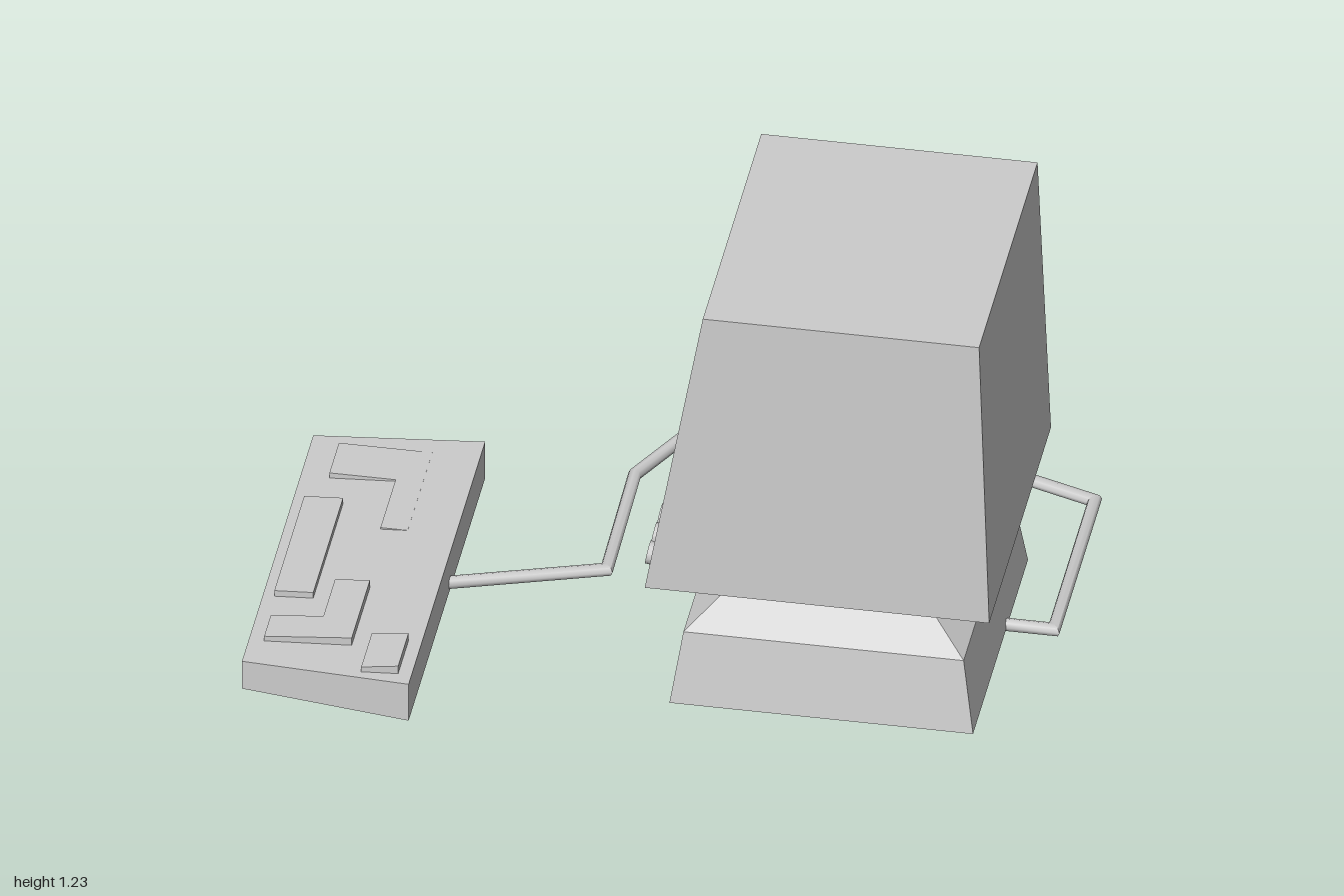
import * as THREE from 'three';
import { toCreasedNormals } from 'three/addons/utils/BufferGeometryUtils.js';

const material = new THREE.MeshStandardMaterial({ color: 0xcccccc });

function part(name, geometry, parent) {
  const mesh = new THREE.Mesh(geometry, material);
  mesh.name = name;
  parent.add(mesh);
  return mesh;
}

// Skin a list of equal-length rings and cap both ends
function loft(rings, crease = 0.05) {
  const n = rings[0].length, last = (rings.length - 1) * n, index = [];
  for (let r = 0; r < rings.length - 1; r++) {
    for (let i = 0; i < n; i++) {
      const a = r * n + i, b = r * n + (i + 1) % n;
      index.push(a, b, b + n, a, b + n, a + n);
    }
  }
  for (let i = 1; i < n - 1; i++) {
    index.push(0, i + 1, i, last, last + i, last + i + 1);
  }
  const g = new THREE.BufferGeometry();
  g.setAttribute('position', new THREE.Float32BufferAttribute(rings.flat(2), 3));
  g.setIndex(index);
  return toCreasedNormals(g, crease);
}

// Horizontal rectangle ring
const rect = (y, x0, x1, z0, z1) => [[x1, y, z1], [x1, y, z0], [x0, y, z0], [x0, y, z1]];

// Point on the sloping screen side: u runs along z, v runs up, d goes inward
function facePoint(u, v, d = 0) {
  const z0 = THREE.MathUtils.lerp(-0.25, -0.225, v);
  const z1 = THREE.MathUtils.lerp(0.63, 0.607, v);
  return [0.025 + 0.145 * v + d, 0.4 + 0.83 * v, THREE.MathUtils.lerp(z0, z1, u)];
}
const faceRing = (u0, u1, v0, v1, d) =>
  [[u0, v0], [u1, v0], [u1, v1], [u0, v1]].map(([u, v]) => facePoint(u, v, d));

// Mitred round cable through ground points [x, z]
function cable(points, y, radius, sides) {
  const pts = points.map(([x, z]) => new THREE.Vector2(x, z));
  const side = (a, b) => {
    const d = b.clone().sub(a).normalize();
    return new THREE.Vector2(d.y, -d.x);
  };
  const rings = pts.map((p, i) => {
    const before = side(pts[Math.max(i - 1, 0)], pts[Math.max(i, 1)]);
    const j = Math.min(i, pts.length - 2);
    const after = side(pts[j], pts[j + 1]);
    const s = before.clone().add(after).normalize();
    s.divideScalar(s.dot(before));
    return Array.from({ length: sides }, (_, k) => {
      const t = (k / sides) * Math.PI * 2, c = Math.cos(t) * radius;
      return [p.x + s.x * c, y + Math.sin(t) * radius, p.y + s.y * c];
    });
  });
  return loft(rings, 0.9);
}

// Raised key block with a tilted top; outline is [x, z], height is at x = -0.8
function keyBlock(outline, height, slope) {
  const shape = new THREE.Shape(outline.map(([x, z]) => new THREE.Vector2(x, -z)));
  const g = new THREE.ExtrudeGeometry(shape, { depth: 1, bevelEnabled: false });
  g.rotateX(-Math.PI / 2);
  const p = g.attributes.position;
  for (let i = 0; i < p.count; i++) {
    p.setY(i, p.getY(i) > 0.5 ? height + slope * (p.getX(i) + 0.8) : 0.07);
  }
  g.computeVertexNormals();
  return g;
}

export function createModel() {
  const model = new THREE.Group();
  model.name = 'computerTerminal';

  // Monitor housing with a recessed screen on its -x side
  const monitor = new THREE.Group();
  monitor.name = 'monitor';
  model.add(monitor);
  part('housing', loft([
    [[0.91, 0.4, -0.25], [0.91, 0.4, 0.63], [0.88, 1.23, 0.607], [0.88, 1.23, -0.225]],
    faceRing(0, 1, 0, 1, 0),
    faceRing(0.15, 0.84, 0.17, 0.85, 0),
    faceRing(0.16, 0.83, 0.175, 0.845, 0.05),
  ]), monitor);

  // Three control knobs below the screen
  for (const z of [0.4, 0.483, 0.565]) {
    const knob = part('knob', new THREE.CylinderGeometry(0.03, 0.03, 0.03, 12), monitor);
    knob.position.set(0.036, 0.463, z);
    knob.rotation.z = Math.PI / 2 - 0.175;
  }

  // Stand: flared foot, sloping shoulder and square neck
  part('stand', loft([
    rect(0.02, 0.08, 0.86, -0.2, 0.583),
    rect(0.22, 0.11, 0.83, -0.168, 0.55),
    rect(0.32, 0.23, 0.705, -0.045, 0.432),
    rect(0.405, 0.23, 0.705, -0.045, 0.432),
  ]), model);

  // Wedge-shaped keyboard
  const keyboard = new THREE.Group();
  keyboard.name = 'keyboard';
  model.add(keyboard);
  const corners = [[-0.56, 0.75, 0.112], [-0.56, -0.34, 0.112], [-1, -0.33, 0.084], [-1, 0.685, 0.084]];
  part('keyboardBody', loft([
    corners.map(([x, z]) => [x, 0, z]),
    corners.map(([x, z, y]) => [x, y, z]),
  ]), keyboard);

  // Key groups
  part('steppedKeys', keyBlock([[-0.925, -0.28], [-0.685, -0.28], [-0.685, 0.07],
    [-0.755, 0.07], [-0.755, -0.145], [-0.925, -0.145]], 0.1045, 0), keyboard);
  part('longKeys', keyBlock([[-0.97, -0.035], [-0.87, -0.035], [-0.87, 0.39],
    [-0.97, 0.39]], 0.114, 0.064), keyboard);
  part('cornerKeys', keyBlock([[-0.825, 0.33], [-0.735, 0.33], [-0.735, 0.59],
    [-0.96, 0.59], [-0.96, 0.495], [-0.825, 0.495]], 0.117, 0.1), keyboard);
  part('keypad', keyBlock([[-0.69, 0.555], [-0.595, 0.555], [-0.595, 0.705],
    [-0.69, 0.705]], 0.102, 0.15), keyboard);

  // Cable from keyboard round the back to the stand
  part('cable', cable([[-0.57, 0.165], [-0.18, 0.035], [-0.185, -0.39], [-0.01, -0.74],
    [0.34, -0.705], [0.98, -0.483], [0.98, 0.095], [0.84, 0.095]], 0.023, 0.017, 8), model);

  return model;
}
